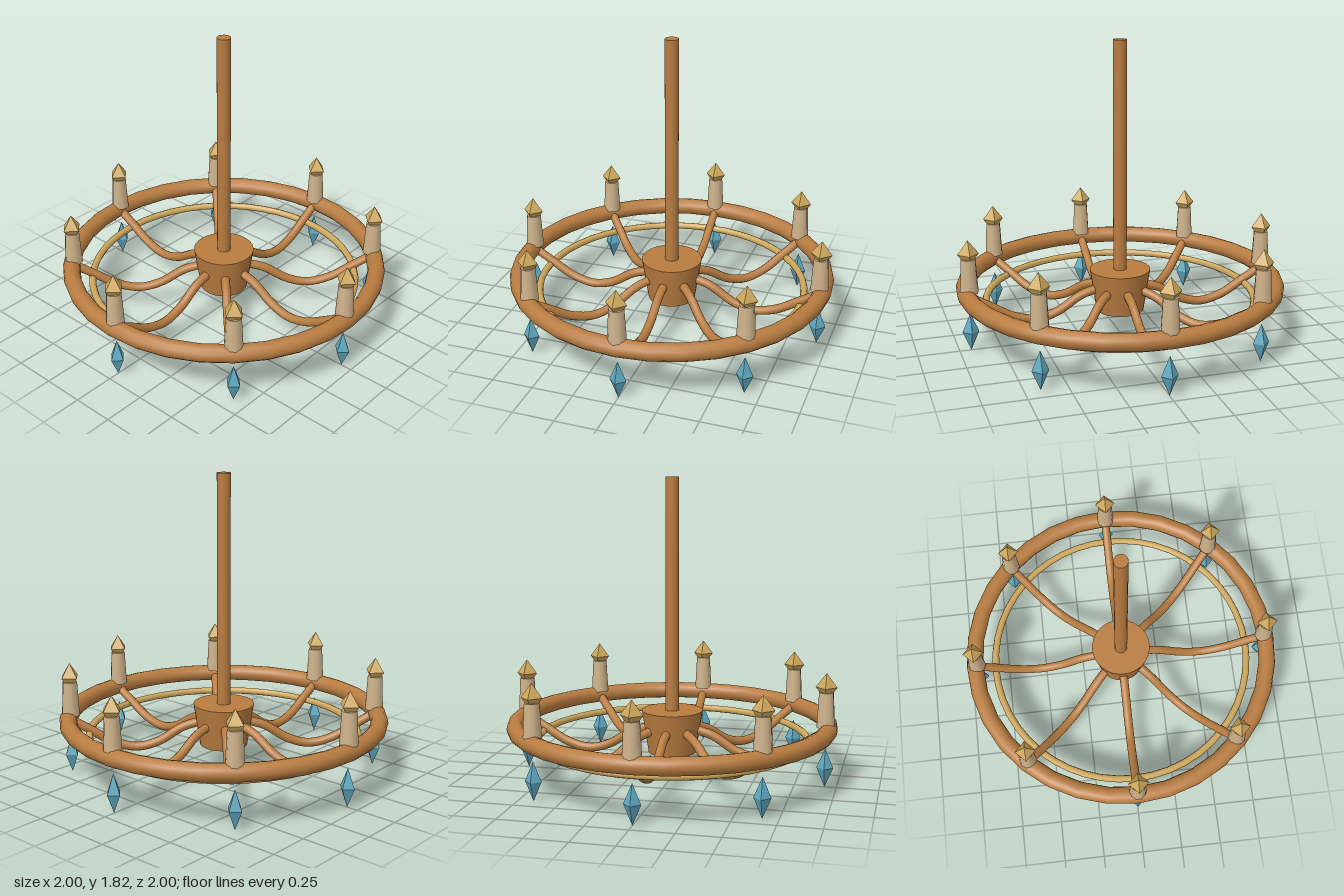
import * as THREE from 'three';

const mat = (name, color, flatShading = false) => {
  const m = new THREE.MeshStandardMaterial({ color, flatShading });
  m.name = name;
  return m;
};

export function createModel() {
  const wood = mat('wood', 0xb87c40);
  const gold = mat('gold', 0xcfa85c);
  const flameGold = mat('flame gold', 0xcfa85c, true);
  const wax = mat('wax', 0xd0b48c);
  const crystalBlue = mat('crystal blue', 0x5fa8bf, true);

  const model = new THREE.Group();
  model.name = 'chandelier';
  const add = (parent, name, geometry, material, x = 0, y = 0, z = 0) => {
    const mesh = new THREE.Mesh(geometry, material);
    mesh.name = name;
    mesh.position.set(x, y, z);
    parent.add(mesh);
    return mesh;
  };

  // Hanging rod and tapered hub
  add(model, 'rod', new THREE.CylinderGeometry(0.041, 0.041, 1.425, 20), wood, 0, 1.1125, 0);
  add(model, 'hub', new THREE.CylinderGeometry(0.185, 0.145, 0.26, 32), wood, 0, 0.29, 0);

  // Outer rim and thin inner ring
  const rim = new THREE.TorusGeometry(0.947, 0.053, 12, 32).rotateX(Math.PI / 2);
  add(model, 'outerRim', rim, wood, 0, 0.338, 0);
  const thinRing = new THREE.TorusGeometry(0.822, 0.022, 8, 48).rotateX(Math.PI / 2);
  add(model, 'innerRing', thinRing, gold, 0, 0.245, 0);

  // Shared shapes for the eight repeated branches
  const armPath = new THREE.CatmullRomCurve3(
    [[0.13, 0.31], [0.25, 0.275], [0.4, 0.185], [0.53, 0.153], [0.67, 0.185], [0.81, 0.265], [0.93, 0.335]]
      .map(([r, y]) => new THREE.Vector3(r, y, 0)));
  const armGeo = new THREE.TubeGeometry(armPath, 28, 0.027, 10);
  const candleGeo = new THREE.CylinderGeometry(0.044, 0.055, 0.21, 10);
  const flameGeo = new THREE.OctahedronGeometry(1).scale(0.064, 0.085, 0.064);
  const crystalGeo = new THREE.OctahedronGeometry(1).scale(0.05, 0.118, 0.05);

  for (let i = 0; i < 8; i++) {
    const a = (i * Math.PI) / 4;
    const x = 0.93 * Math.cos(a), z = 0.93 * Math.sin(a);
    const branch = new THREE.Group();
    branch.name = 'branch' + (i + 1);
    model.add(branch);
    add(branch, 'arm', armGeo, wood).rotation.y = -a;
    add(branch, 'candle', candleGeo, wax, x, 0.47, z);
    add(branch, 'flame', flameGeo, flameGold, x, 0.605, z);
    add(branch, 'crystal', crystalGeo, crystalBlue, x, 0.118, z);
  }
  return model;
}
